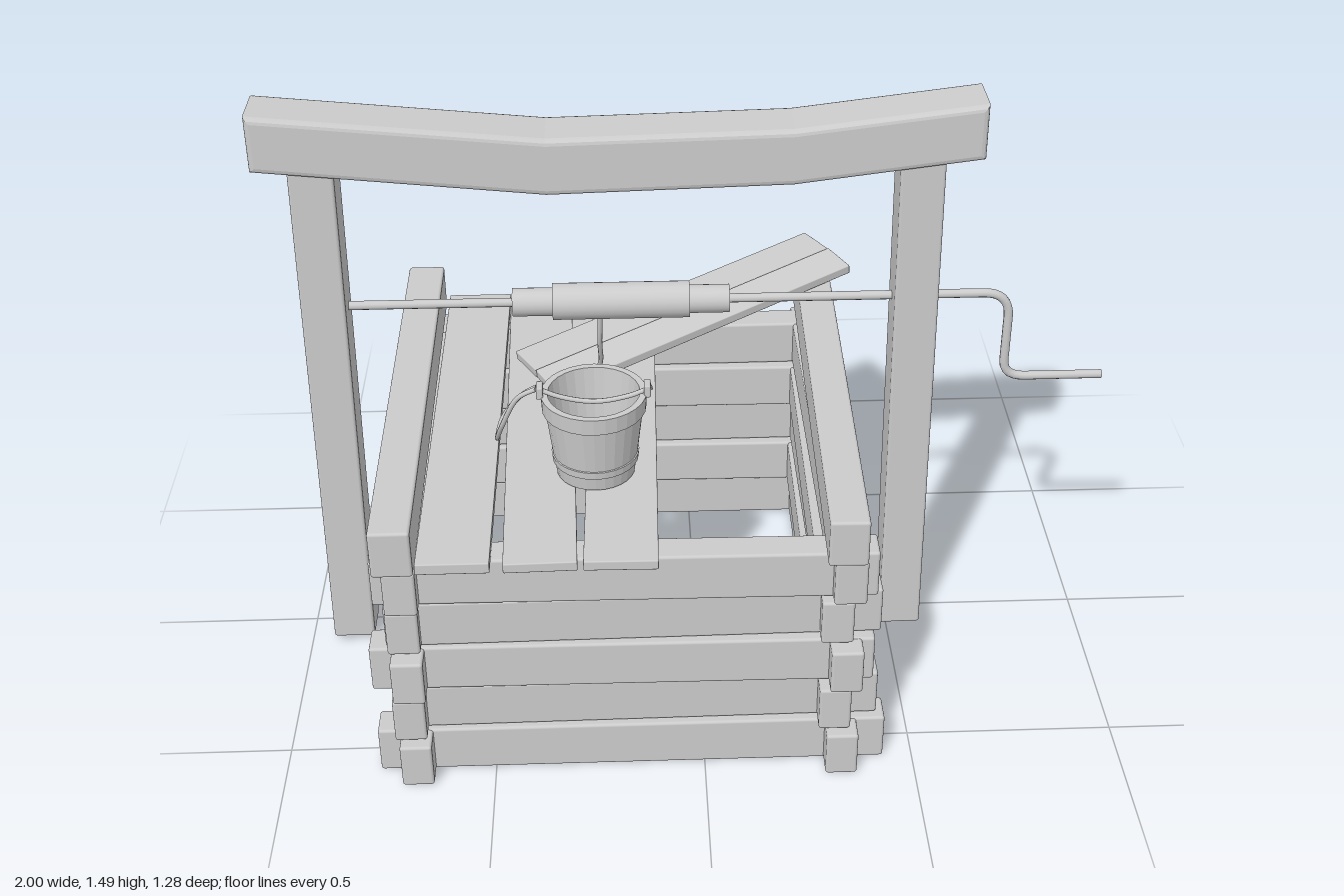
import * as THREE from 'three';
import { RoundedBoxGeometry } from 'three/addons/geometries/RoundedBoxGeometry.js';

const wood = new THREE.MeshStandardMaterial({ color: 0xcccccc });
const thin = new THREE.MeshStandardMaterial({ color: 0xcccccc, side: THREE.DoubleSide });

export function createModel() {
  const model = new THREE.Group();
  model.name = 'well';

  const add = (name, geometry, material = wood, parent = model) => {
    const mesh = new THREE.Mesh(geometry, material);
    mesh.name = name;
    parent.add(mesh);
    return mesh;
  };

  // Softly rounded timber given by its extents on each axis
  const timber = (name, [x0, x1], [y0, y1], [z0, z1], yaw = 0, radius = 0.007) => {
    const mesh = add(name, new RoundedBoxGeometry(x1 - x0, y1 - y0, z1 - z0, 2, radius));
    mesh.position.set((x0 + x1) / 2, (y0 + y1) / 2, (z0 + z1) / 2);
    mesh.rotation.y = yaw;
    return mesh;
  };

  const rod = (name, points, radius, segments = 60, parent = model) =>
    add(name, new THREE.TubeGeometry(
      new THREE.CatmullRomCurve3(points.map((p) => new THREE.Vector3(...p))), segments, radius, 8), thin, parent);

  // Interlocking log walls: x extent, z extent and a slight yaw per layer
  const layers = [
    [-0.775, 0.43, -0.575, 0.635, 0],
    [-0.715, 0.41, -0.55, 0.615, 0.008],
    [-0.775, 0.395, -0.54, 0.63, -0.006],
    [-0.735, 0.41, -0.55, 0.6, 0.01],
    [-0.755, 0.395, -0.535, 0.615, -0.008],
  ];
  layers.forEach(([x0, x1, z0, z1, yaw], i) => {
    const y = [0.005 + i * 0.124, 0.127 + i * 0.124];
    const ySide = [y[0] + 0.002, y[1] - 0.002];
    const shift = i % 2 ? -0.008 : 0.006;
    timber('frontLog', [x0, x1], y, [0.495 + shift, 0.57 + shift], yaw);
    timber('backLog', [x0, x1], y, [-0.505 - shift, -0.428 - shift], -yaw);
    timber('leftLog', [0.28 + shift, 0.355 + shift], ySide, [z0, z1], -yaw);
    timber('rightLog', [-0.725 + shift, -0.65 + shift], ySide, [z0, z1], yaw);
  });
  timber('topLeftLog', [0.282, 0.372], [0.625, 0.745], [-0.575, 0.63], -0.017);
  timber('topRightLog', [-0.745, -0.652], [0.625, 0.745], [-0.575, 0.63], 0.006);

  // Cover planks
  timber('coverPlank', [-0.645, -0.48], [0.627, 0.655], [-0.575, 0.625], 0, 0.003);
  timber('coverPlank', [-0.465, -0.3], [0.627, 0.652], [-0.575, 0.625], 0.024, 0.003);
  timber('coverPlank', [-0.265, -0.098], [0.627, 0.652], [-0.575, 0.625], -0.013, 0.003);

  // Loose split plank leaning on the back corner
  const loose = new THREE.Group();
  loose.name = 'loosePlank';
  loose.position.set(-0.008, 0.727, -0.338);
  loose.rotation.set(0, 0.503, 0.113, 'YZX');
  model.add(loose);
  [[-0.054, 0.112], [0.053, 0.1]].forEach(([z, width], i) => {
    const half = add('plankHalf', new RoundedBoxGeometry(0.895, 0.025, width, 2, 0.003), wood, loose);
    half.position.set(0, 0, z);
    half.rotation.x = i ? 0.08 : -0.02;
  });

  // Leaning posts
  [['rightPost', -0.89, -0.867], ['leftPost', 0.533, 0.515]].forEach(([name, bottom, top]) => {
    const post = timber(name, [bottom - 0.052, bottom + 0.052], [0.02, 1.37], [-0.01, 0.095]);
    post.position.x = (bottom + top) / 2;
    post.rotation.z = -Math.atan2(top - bottom, 1.35);
  });

  // Sagging top beam with bevelled edges
  const bevel = 0.014;
  const beamTop = [[-1, 1.495], [-0.34, 1.43], [0.22, 1.443], [0.655, 1.495]];
  const beamBottom = [[0.655, 1.36], [0.22, 1.307], [-0.34, 1.292], [-1, 1.36]];
  const inset = (list, dy) => list.map(([x, y]) =>
    new THREE.Vector2(x + (x < -0.9 ? bevel : x > 0.6 ? -bevel : 0), y + dy));
  const beam = add('topBeam', new THREE.ExtrudeGeometry(
    new THREE.Shape([...inset(beamTop, -bevel), ...inset(beamBottom, bevel)]),
    { depth: 0.138 - 2 * bevel, bevelSize: bevel, bevelThickness: bevel, bevelSegments: 3 }));
  beam.position.z = -0.03 + bevel;

  // Windlass axle, bent crank and stepped drum
  const v = (x, y) => new THREE.Vector3(x, y, 0.035);
  const crank = new THREE.CurvePath();
  crank.add(new THREE.LineCurve3(v(-0.86, 0.978), v(0.69, 0.978)));
  crank.add(new THREE.QuadraticBezierCurve3(v(0.69, 0.978), v(0.755, 0.978), v(0.755, 0.91)));
  crank.add(new THREE.LineCurve3(v(0.755, 0.91), v(0.755, 0.79)));
  crank.add(new THREE.QuadraticBezierCurve3(v(0.755, 0.79), v(0.755, 0.742), v(0.81, 0.742)));
  crank.add(new THREE.LineCurve3(v(0.81, 0.742), v(1, 0.742)));
  add('axleAndCrank', new THREE.TubeGeometry(crank, 160, 0.011, 10), thin);
  const crankEnd = add('crankEnd', new THREE.CircleGeometry(0.011, 10));
  crankEnd.position.copy(v(1, 0.742));
  crankEnd.rotation.y = Math.PI / 2;
  [[-0.435, 0.08, 0.034], [-0.34, -0.015, 0.044]].forEach(([x0, x1, r]) => {
    const drum = add('drum', new THREE.CylinderGeometry(r, r, x1 - x0, 20));
    drum.rotation.z = Math.PI / 2;
    drum.position.set((x0 + x1) / 2, 0.978, 0.035);
  });

  // Bucket: hollow lathe with a raised rim and a hoop
  const bucket = new THREE.Group();
  bucket.name = 'bucket';
  bucket.position.set(-0.245, 0.655, 0.265);
  model.add(bucket);
  const profile = [[0, 0], [0.092, 0], [0.097, 0.035], [0.101, 0.036], [0.103, 0.055], [0.1, 0.056],
    [0.114, 0.17], [0.121, 0.172], [0.123, 0.213], [0.107, 0.213], [0.084, 0.02], [0, 0.02]];
  const shell = new THREE.LatheGeometry(profile.map(([r, y]) => new THREE.Vector2(r, y)), 28).toNonIndexed();
  shell.computeVertexNormals();
  add('bucketShell', shell, thin, bucket);
  [-1, 1].forEach((s) => {
    const ear = add('bucketEar', new RoundedBoxGeometry(0.016, 0.032, 0.035, 1, 0.004), wood, bucket);
    ear.position.set(s * 0.124, 0.223, 0.005);
  });
  rod('bail', [[-0.135, 0.228, 0], [-0.08, 0.205, 0.004], [0, 0.192, 0.008], [0.08, 0.205, 0.008], [0.135, 0.228, 0.008]],
    0.006, 24, bucket);

  // Rope from the drum, looped over the planks and up to the bucket
  rod('rope', [[-0.228, 0.95, 0.015], [-0.232, 0.84, -0.01], [-0.235, 0.74, -0.06], [-0.27, 0.675, -0.095],
    [-0.34, 0.665, -0.11], [-0.42, 0.665, -0.06], [-0.472, 0.665, 0.05], [-0.482, 0.675, 0.16],
    [-0.465, 0.75, 0.225], [-0.42, 0.85, 0.255], [-0.37, 0.882, 0.265]], 0.006, 80);

  return model;
}
